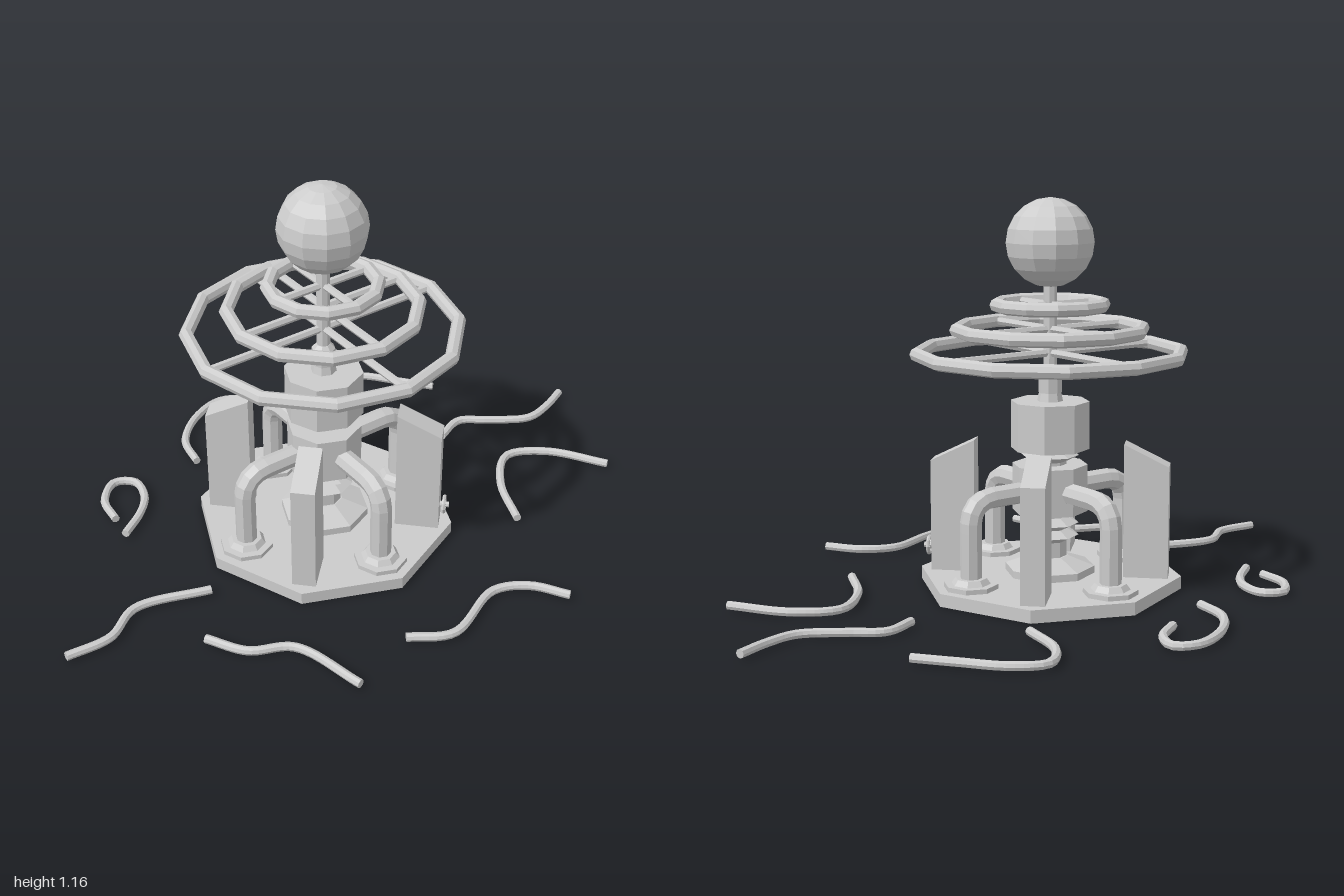
import * as THREE from 'three';

const mat = new THREE.MeshStandardMaterial({ color: 0xcccccc, flatShading: true });

function add(parent, name, geometry) {
  const mesh = new THREE.Mesh(geometry, mat);
  mesh.name = name;
  parent.add(mesh);
  return mesh;
}

// Faceted drum between two heights
function drum(parent, name, rTop, rBottom, y0, y1, sides = 8) {
  return add(parent, name, new THREE.CylinderGeometry(rTop, rBottom, y1 - y0, sides).translate(0, (y0 + y1) / 2, 0));
}

// Tube along a curve with closed ends
function cappedTube(parent, name, curve, segments, radius, sides) {
  const group = new THREE.Group();
  group.name = name;
  add(group, name + 'Body', new THREE.TubeGeometry(curve, segments, radius, sides));
  for (const t of [0, 1]) {
    const dir = curve.getTangentAt(t).multiplyScalar(t ? 1 : -1);
    const cap = add(group, name + 'Cap', new THREE.CircleGeometry(radius, sides));
    cap.position.copy(curve.getPointAt(t));
    cap.quaternion.setFromUnitVectors(new THREE.Vector3(0, 0, 1), dir);
  }
  parent.add(group);
}

// Curved pipe from the core down to a stepped flange on the base
function feedPipe() {
  const g = new THREE.Group();
  g.name = 'feedPipe';
  const v = (x, y) => new THREE.Vector3(x, y, 0);
  const path = new THREE.CurvePath();
  path.add(new THREE.LineCurve3(v(0.08, 0.295), v(0.21, 0.295)));
  path.add(new THREE.QuadraticBezierCurve3(v(0.21, 0.295), v(0.287, 0.295), v(0.287, 0.218)));
  path.add(new THREE.LineCurve3(v(0.287, 0.218), v(0.287, 0.04)));
  add(g, 'pipe', new THREE.TubeGeometry(path, 16, 0.032, 8));
  drum(g, 'flange', 0.08, 0.08, 0.035, 0.052).position.x = 0.287;
  drum(g, 'flangeCollar', 0.046, 0.058, 0.052, 0.068).position.x = 0.287;
  return g;
}

// Upright radial fin with a top sloping outwards
function fin() {
  const shape = new THREE.Shape([[0.224, 0.035], [0.357, 0.035], [0.357, 0.375], [0.224, 0.44]]
    .map(([x, y]) => new THREE.Vector2(x, y)));
  return new THREE.ExtrudeGeometry(shape, { depth: 0.07, bevelEnabled: false }).translate(0, 0, -0.035);
}

// Small hand wheel on the outer edge of one fin
function handWheel() {
  const g = new THREE.Group();
  g.name = 'handWheel';
  add(g, 'wheelRim', new THREE.TorusGeometry(0.025, 0.006, 6, 10).rotateY(Math.PI / 2));
  add(g, 'wheelHub', new THREE.CylinderGeometry(0.009, 0.009, 0.03, 8).rotateZ(Math.PI / 2));
  for (let i = 0; i < 2; i++) {
    add(g, 'wheelSpoke', new THREE.BoxGeometry(0.006, 0.05, 0.008).rotateX(Math.PI / 4 + i * Math.PI / 2));
  }
  g.position.set(0.37, 0.106, 0);
  return g;
}

export function createModel() {
  const root = new THREE.Group();
  root.name = 'towerWithGroundCables';
  const tower = new THREE.Group();
  tower.name = 'tower';
  tower.position.x = -0.06;
  root.add(tower);

  // Base and central column
  drum(tower, 'basePlate', 0.395, 0.395, 0, 0.038);
  drum(tower, 'columnFoot', 0.135, 0.135, 0.035, 0.06);
  drum(tower, 'columnFootCone', 0.055, 0.135, 0.06, 0.09);
  drum(tower, 'columnNeck', 0.05, 0.05, 0.08, 0.43);
  drum(tower, 'lowerBlock', 0.113, 0.113, 0.228, 0.37);
  drum(tower, 'upperBlock', 0.118, 0.118, 0.417, 0.56);
  drum(tower, 'shaftSocket', 0.033, 0.04, 0.555, 0.585);
  drum(tower, 'shaftCollar', 0.035, 0.035, 0.585, 0.635);
  drum(tower, 'shaftCollarTop', 0.021, 0.035, 0.635, 0.65);
  drum(tower, 'shaft', 0.02, 0.02, 0.64, 0.92);

  // Double-cone insulator ribs
  for (const y of [0.155, 0.192, 0.398]) {
    drum(tower, 'insulatorRibLower', 0.087, 0.05, y - 0.019, y);
    drum(tower, 'insulatorRibUpper', 0.05, 0.087, y, y + 0.019);
  }

  // Spoked rings
  for (const [r, y] of [[0.393, 0.703], [0.276, 0.773], [0.158, 0.845]]) {
    add(tower, 'ring', new THREE.TorusGeometry(r, 0.021, 8, 12).rotateX(Math.PI / 2)).position.y = y;
    for (let i = 0; i < 2; i++) {
      add(tower, 'ringSpokes', new THREE.CylinderGeometry(0.012, 0.012, 2 * r, 6)
        .rotateZ(Math.PI / 2).rotateY(i * Math.PI / 2)).position.y = y;
    }
  }

  add(tower, 'topBall', new THREE.SphereGeometry(0.131, 12, 10)).position.y = 1.027;

  // Pipes on the axes, fins on the diagonals
  for (let i = 0; i < 4; i++) {
    const pipe = feedPipe();
    pipe.rotation.y = i * Math.PI / 2;
    tower.add(pipe);
    const finGroup = new THREE.Group();
    finGroup.name = 'finGroup';
    add(finGroup, 'fin', fin());
    if (i === 0) finGroup.add(handWheel());
    finGroup.rotation.y = -Math.PI / 4 + i * Math.PI / 2;
    tower.add(finGroup);
  }

  // Loose cables lying on the ground, as x, z points
  const cables = [
    [[-0.24, -0.47], [-0.215, -0.585], [-0.12, -0.68], [0, -0.722], [0.062, -0.69], [0.035, -0.62], [-0.05, -0.565]],
    [[-0.6, -0.36], [-0.585, -0.46], [-0.515, -0.525], [-0.46, -0.49], [-0.47, -0.41], [-0.52, -0.345], [-0.61, -0.28]],
    [[0.29, -0.37], [0.325, -0.53], [0.405, -0.605], [0.495, -0.56], [0.58, -0.46], [0.66, -0.36]],
    [[0.5, -0.11], [0.6, -0.145], [0.685, -0.09], [0.805, -0.02], [0.9, -0.035], [0.995, -0.073]],
    [[0.415, 0.365], [0.49, 0.2], [0.605, 0.1], [0.725, 0.16], [0.84, 0.325]],
    [[-0.19, 0.58], [-0.07, 0.645], [0.135, 0.575], [0.235, 0.62], [0.305, 0.72]],
    [[-0.65, 0.255], [-0.58, 0.365], [-0.465, 0.43], [-0.4, 0.65]],
    [[-1, 0.09], [-0.865, 0.095], [-0.75, 0.03], [-0.53, 0.09]],
  ];
  for (const points of cables) {
    const curve = new THREE.CatmullRomCurve3(points.map(([x, z]) => new THREE.Vector3(x, 0.018, z)));
    cappedTube(root, 'groundCable', curve, 28, 0.013, 8);
  }
  return root;
}
